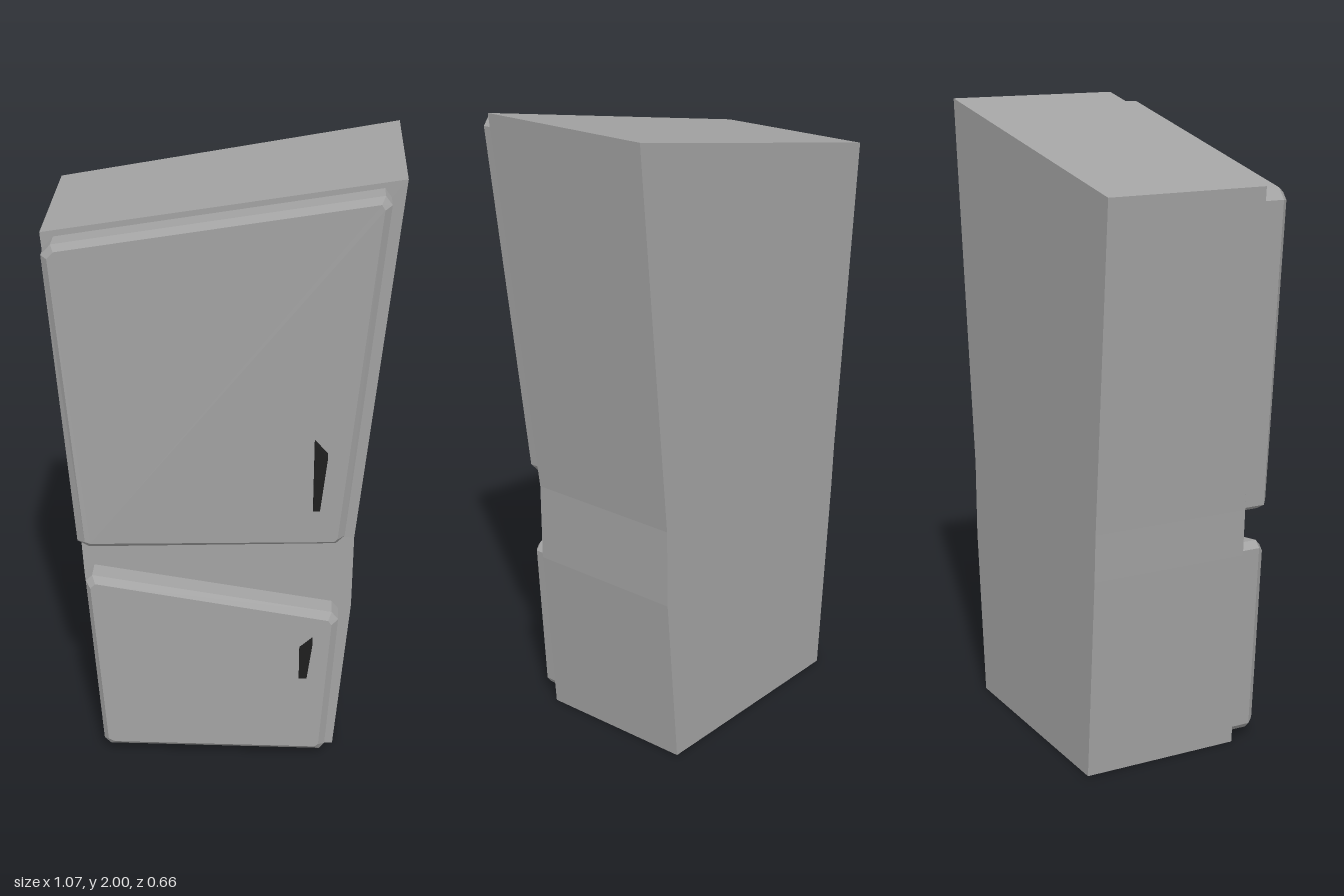
import * as THREE from 'three';

const shellMat = new THREE.MeshStandardMaterial({ color: 0xa3a3a3 });
shellMat.name = 'grey enamel';
const handleMat = new THREE.MeshStandardMaterial({ color: 0x1e1e1e });
handleMat.name = 'black handle';

// Joins rings of points into a closed, hard-edged solid
function loft(name, rings, material) {
  const pos = [];
  const tri = (...pts) => pts.forEach((p) => pos.push(...p));
  const n = rings[0].length;
  for (let i = 0; i + 1 < rings.length; i++) {
    for (let j = 0; j < n; j++) {
      const k = (j + 1) % n;
      const [a, b, c, d] = [rings[i][j], rings[i][k], rings[i + 1][k], rings[i + 1][j]];
      tri(a, b, c);
      tri(a, c, d);
    }
  }
  const first = rings[0], last = rings[rings.length - 1];
  for (let j = 1; j + 1 < n; j++) {
    tri(first[0], first[j + 1], first[j]);
    tri(last[0], last[j], last[j + 1]);
  }
  const geo = new THREE.BufferGeometry();
  geo.setAttribute('position', new THREE.Float32BufferAttribute(pos, 3));
  geo.computeVertexNormals();
  const mesh = new THREE.Mesh(geo, material);
  mesh.name = name;
  return mesh;
}

// The upper front leans forward towards its top left corner
function lean(x, y) {
  const v = THREE.MathUtils.clamp((y - 0.8) / 1.2, 0, 1);
  const u = THREE.MathUtils.clamp((x + 0.45 + 0.085 * v) / (0.87 + 0.195 * v), 0, 1);
  return 0.055 * Math.min(u, v);
}

const atDepth = (outline, z) => outline.map(([x, y]) => [x, y, z + lean(x, y)]);

// Slab with a bevelled rim; outlines run anticlockwise from the bottom -x corner
function door(name, outer, inner) {
  return loft(name, [atDepth(outer, 0.188), atDepth(outer, 0.257), atDepth(inner, 0.278)], shellMat);
}

function handle(name, outline) {
  return loft(name, [0.26, 0.327].map((z) => outline.map(([x, y]) => [x, y, z])), handleMat);
}

export function createModel() {
  const group = new THREE.Group();
  group.name = 'crooked refrigerator';

  // Cabinet levels: -x edge, its height, +x edge, its height, front z of the +x edge
  const levels = [
    [-0.395, 0, 0.37, 0, 0.19],
    [-0.444, 0.65, 0.416, 0.55, 0.19],
    [-0.452, 0.8, 0.418, 0.8, 0.19],
    [-0.535, 1.805, 0.53, 2, 0.245],
  ];
  group.add(loft('cabinet', levels.map(([xl, yl, xr, yr, zr]) => [
    [xl, yl, 0.19], [xr, yr, zr], [xr, yr, -0.33], [xl, yl, -0.33],
  ]), shellMat));

  group.add(door('upperDoor',
    [[-0.416, 0.785], [0.358, 0.817], [0.385, 0.845], [0.485, 1.945],
      [0.465, 1.972], [-0.495, 1.793], [-0.525, 1.76], [-0.453, 0.806]],
    [[-0.411, 0.806], [0.353, 0.833], [0.363, 0.843], [0.464, 1.936],
      [0.454, 1.952], [-0.485, 1.777], [-0.505, 1.755], [-0.427, 0.812]]));

  group.add(door('lowerDoor',
    [[-0.369, 0.027], [0.326, 0.027], [0.342, 0.048], [0.374, 0.536],
      [0.353, 0.562], [-0.411, 0.679], [-0.432, 0.658], [-0.39, 0.048]],
    [[-0.353, 0.048], [0.31, 0.048], [0.321, 0.058], [0.353, 0.525],
      [0.342, 0.541], [-0.4, 0.658], [-0.416, 0.642], [-0.374, 0.058]]));

  group.add(handle('upperHandle', [[0.284, 0.967], [0.305, 0.967], [0.325, 1.15], [0.284, 1.198]]));
  group.add(handle('lowerHandle', [[0.252, 0.352], [0.277, 0.352], [0.293, 0.478], [0.252, 0.44]]));

  return group;
}
